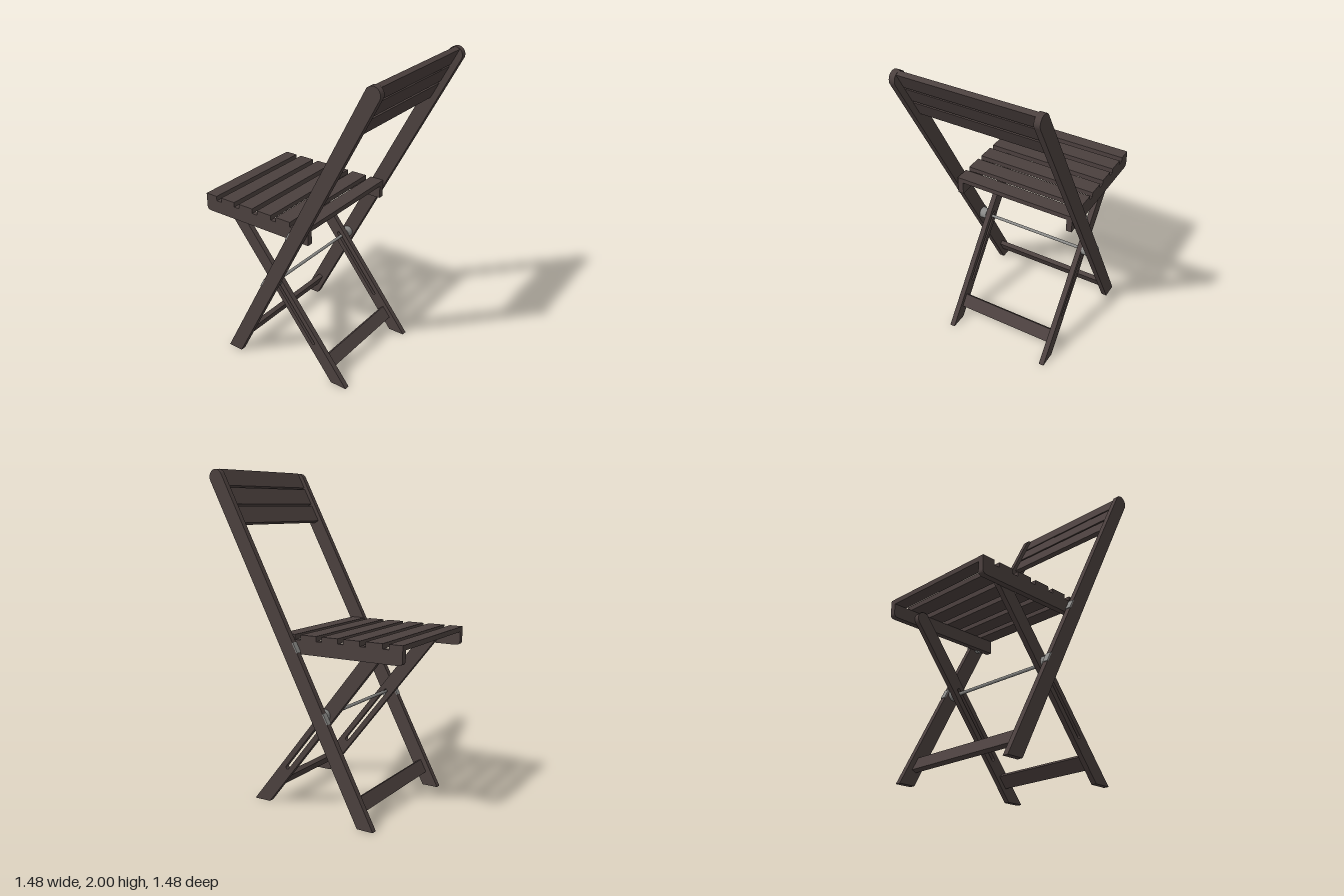
import * as THREE from 'three';

const wood = new THREE.MeshStandardMaterial({ color: 0x4b403e });
wood.name = 'dark brown wood';
const metal = new THREE.MeshStandardMaterial({ color: 0x8a8a88 });
metal.name = 'grey metal';

// Working frame: x runs to the rear of the chair, y up, z across the seat.
export function createModel() {
  const chair = new THREE.Group();
  chair.name = 'foldingChair';

  const add = (name, geometry, material, x = 0, y = 0, z = 0, tilt = 0) => {
    const mesh = new THREE.Mesh(geometry, material);
    mesh.name = name;
    mesh.position.set(x, y, z);
    mesh.rotation.z = tilt;
    chair.add(mesh);
    return mesh;
  };

  // Side profile extruded across the chair, once per side
  const addPair = (name, shape, zInner, thickness) => {
    const geometry = new THREE.ExtrudeGeometry(shape, { depth: thickness, bevelEnabled: false, curveSegments: 10 });
    add(name + 'A', geometry, wood, 0, 0, zInner);
    add(name + 'B', geometry, wood, 0, 0, -zInner - thickness);
  };
  const addDiscs = (name, radius, x, y, z0, z1) => {
    for (const s of [-1, 1]) {
      const geometry = new THREE.CylinderGeometry(radius, radius, z1 - z0, 20).rotateX(Math.PI / 2);
      add(name, geometry, metal, x, y, s * (z0 + z1) / 2);
    }
  };

  // Leaning leg: foot cut flat on the ground, rounded top
  const makeLeg = (footX, topX, topY, half) => {
    const angle = Math.atan2(topY, topX - footX);
    const h = half / Math.sin(angle);
    const shape = new THREE.Shape();
    shape.moveTo(footX - h, 0);
    shape.lineTo(footX + h, 0);
    shape.absarc(topX, topY, half, angle - Math.PI / 2, angle + Math.PI / 2, false);
    shape.closePath();
    const at = (y) => footX + (topX - footX) * y / topY;
    return { shape, angle, at, tilt: angle - Math.PI / 2, half };
  };
  const long = makeLeg(-0.45, 0.57, 1.954, 0.0455);
  const short = makeLeg(0.323, -0.457, 0.985, 0.043);

  // Sliding slot along each short leg
  const slot = new THREE.Path();
  slot.absarc(short.at(0.24), 0.24, 0.011, short.angle + Math.PI / 2, short.angle + 1.5 * Math.PI, false);
  slot.absarc(short.at(0.61), 0.61, 0.011, short.angle - Math.PI / 2, short.angle + Math.PI / 2, false);
  slot.closePath();
  short.shape.holes.push(slot);

  addPair('longLeg', long.shape, 0.403, 0.035);
  addPair('shortLeg', short.shape, 0.325, 0.033);

  // Seat rails with a rounded lower front corner
  const rail = new THREE.Shape();
  rail.moveTo(0.134, 0.95);
  rail.lineTo(0.134, 1.032);
  rail.lineTo(-0.65, 1.032);
  rail.lineTo(-0.65, 0.975);
  rail.quadraticCurveTo(-0.65, 0.95, -0.62, 0.95);
  rail.closePath();
  addPair('seatRail', rail, 0.36, 0.036);

  // Seat slats
  const gaps = [-0.548, -0.405, -0.263, -0.12, 0.022];
  for (let i = 0; i < 6; i++) {
    const front = i === 0 ? -0.65 : gaps[i - 1] + 0.019;
    const rear = i === 5 ? 0.134 : gaps[i] - 0.019;
    add('seatSlat', new THREE.BoxGeometry(rear - front, 0.03, 0.792), wood, (front + rear) / 2, 1.047, 0);
  }

  // Backrest slats
  for (const y of [1.73, 1.84, 1.947]) {
    add('backSlat', new THREE.BoxGeometry(0.03, 0.108, 0.806), wood, long.at(y) - 0.008, y, 0, long.tilt);
  }

  // Foot stretchers, tilted with their legs
  add('longLegStretcher', new THREE.BoxGeometry(0.03, 0.085, 0.806), wood, long.at(0.12), 0.12, 0, long.tilt);
  add('shortLegStretcher', new THREE.BoxGeometry(0.03, 0.085, 0.65), wood, short.at(0.12), 0.12, 0, short.tilt);

  // Cross rod, pivot spacers and brackets on the front edges of the long legs
  const rod = new THREE.CylinderGeometry(0.01, 0.01, 0.806, 12).rotateX(Math.PI / 2);
  add('crossRod', rod, metal, long.at(0.597), 0.597, 0);
  addDiscs('pivotSpacer', 0.036, long.at(0.6), 0.602, 0.358, 0.403);
  addDiscs('seatPivot', 0.022, long.at(0.96), 0.96, 0.385, 0.403);
  for (const y of [0.58, 0.97]) {
    for (const s of [-1, 1]) {
      const x = long.at(y) - Math.cos(long.tilt) * long.half;
      const dy = -Math.sin(long.tilt) * long.half;
      add('legBracket', new THREE.BoxGeometry(0.008, 0.065, 0.036), metal, x, y + dy, s * 0.4205, long.tilt);
    }
  }

  // The chair stands turned on its base
  chair.rotation.y = -Math.PI / 4;
  const model = new THREE.Group();
  model.name = 'chairModel';
  model.add(chair);
  return model;
}
